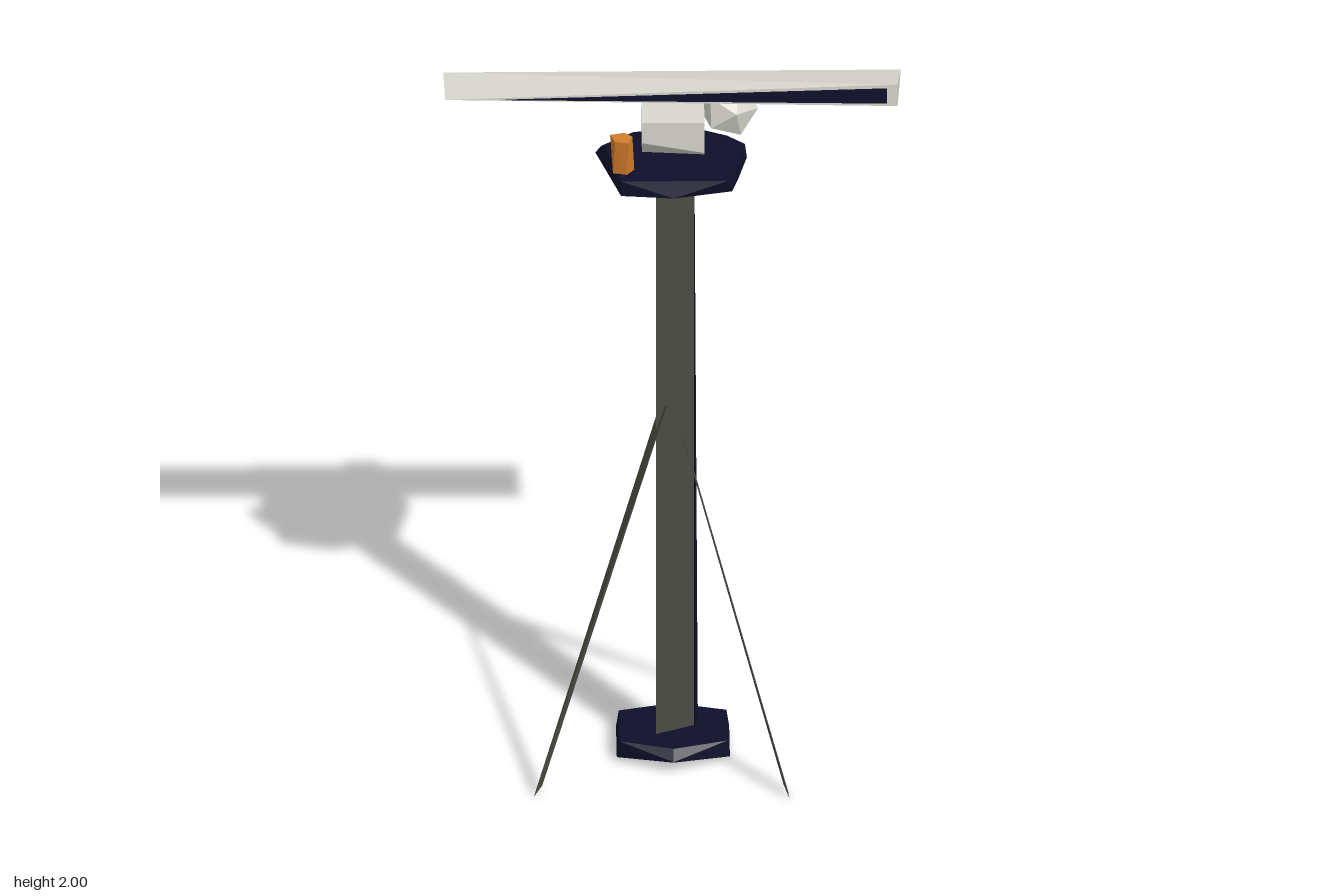
import * as THREE from 'three';
import { ConvexGeometry } from 'three/addons/geometries/ConvexGeometry.js';

function material(name, color) {
  const m = new THREE.MeshStandardMaterial({ color });
  m.name = name;
  return m;
}

export function createModel() {
  const group = new THREE.Group();
  const grey = material('darkGrey', 0x4b4b44);
  const navy = material('navy', 0x0f0f2a);
  const white = material('offWhite', 0xd8d8cf);
  const orange = material('orange', 0xd27c2a);

  const add = (name, geometry, mat) => {
    const mesh = new THREE.Mesh(geometry, mat);
    mesh.name = name;
    group.add(mesh);
    return mesh;
  };
  // faceted solid spanned by its corner points
  const hull = (name, points, mat) =>
    add(name, new ConvexGeometry(points.map((p) => new THREE.Vector3(...p))), mat);
  // corners [x, z] at one height
  const level = (y, corners) => corners.map(([x, z]) => [x, y, z]);

  // three-sided mast
  const mastSection = [[0.055, 0.04], [-0.044, 0.085], [-0.02, -0.007]];
  hull('mast', [...level(0.005, mastSection), ...level(1.74, mastSection)], grey);

  // thin cable along the mast edge
  hull('cable', [
    ...level(0.05, [[0.05, 0.035], [0.064, 0.035], [0.058, 0.045]]),
    ...level(1.58, [[0.05, 0.035], [0.056, 0.035], [0.055, 0.041]]),
  ], navy);

  // hexagonal foot with pointed front and back
  hull('base', [
    ...level(0.06, [[-0.138, 0.12], [0.138, 0.12], [-0.138, -0.035], [0.138, -0.035], [0, 0.16], [0, -0.07]]),
    ...level(0.013, [[-0.145, 0.12], [0.145, 0.12], [-0.145, -0.035], [0.145, -0.035], [0, 0.15], [0, -0.1]]),
    [0, 0.038, 0.19],
  ], navy);

  // splayed support legs: foot corners, then top corners
  hull('leftLeg', [
    [0.295, 0, 0.312], [0.292, 0, 0.275], [0.28, 0.02, 0.272],
    [0, 1.04, 0.08], [0.015, 0.98, 0.05], [0.022, 0.96, 0.07],
  ], grey);
  hull('rightLeg', [
    [-0.36, 0, 0.295], [-0.345, 0, 0.256], [-0.338, 0.02, 0.272],
    [-0.04, 0.97, 0.06], [-0.015, 1.04, 0.085], [-0.04, 1.0, 0.05],
  ], grey);
  hull('backLeg', [
    [-0.02, 0, -0.316], [0.018, 0, -0.3], [0, 0, -0.295],
    [-0.016, 0.97, 0.0], [0.013, 0.97, 0.005], [0, 0.9, 0.015],
  ], grey);

  // faceted platform, sloping down at the back
  hull('platform', [
    ...level(1.767, [[-0.175, 0], [0.185, 0], [-0.135, 0.185], [0.14, 0.185], [0.165, 0.11], [-0.05, -0.03], [0.08, -0.03]]),
    ...level(1.727, [[0.04, -0.157], [-0.1, -0.13], [-0.182, -0.063], [-0.198, -0.03], [0.14, -0.11],
      [0.19, 0], [0.165, 0.115], [0.15, 0.17], [-0.135, 0.19], [0, 0.2]]),
    [0, 1.745, 0.235],
  ], navy);

  // gearbox with the lower front edge cut off
  hull('gearbox', [
    ...level(1.905, [[-0.08, -0.04], [0.08, -0.04], [-0.08, 0.125], [0.08, 0.125]]),
    ...level(1.787, [[-0.08, -0.02], [0.08, -0.02], [-0.08, 0.07], [0.08, 0.085]]),
    [-0.08, 1.845, 0.125], [0.08, 1.815, 0.125],
  ], white);

  // small round dome
  const dome = add('dome', new THREE.IcosahedronGeometry(0.078, 0), white);
  dome.position.set(0.143, 1.845, -0.053);
  dome.rotation.set(0.3, 0.4, 0.15);

  // signal lamp
  hull('lamp', [
    ...level(1.765, [[-0.152, 0.105], [-0.105, 0.1], [-0.1, 0.125], [-0.12, 0.152], [-0.155, 0.14]]),
    ...level(1.862, [[-0.162, 0.11], [-0.125, 0.1], [-0.105, 0.12], [-0.115, 0.155], [-0.15, 0.145]]),
  ], orange);

  // wedge-shaped scanner bar
  hull('scannerBar', [
    [-0.588, 1.968, -0.03], [0.585, 1.968, -0.03],
    [0.575, 2, 0.1], [0.575, 1.936, 0.1], [-0.585, 1.968, 0.108],
  ], white);

  // dark panel on the front of the bar
  const zAt = (x) => 0.1 + (0.575 - x) * 0.0069;
  const panel = [];
  for (const dz of [0.001, 0.004]) {
    panel.push([0.548, 1.99, zAt(0.548) + dz], [0.548, 1.946, zAt(0.548) + dz], [-0.43, 1.968, zAt(-0.43) + dz]);
  }
  hull('scannerPanel', panel, navy);

  return group;
}
